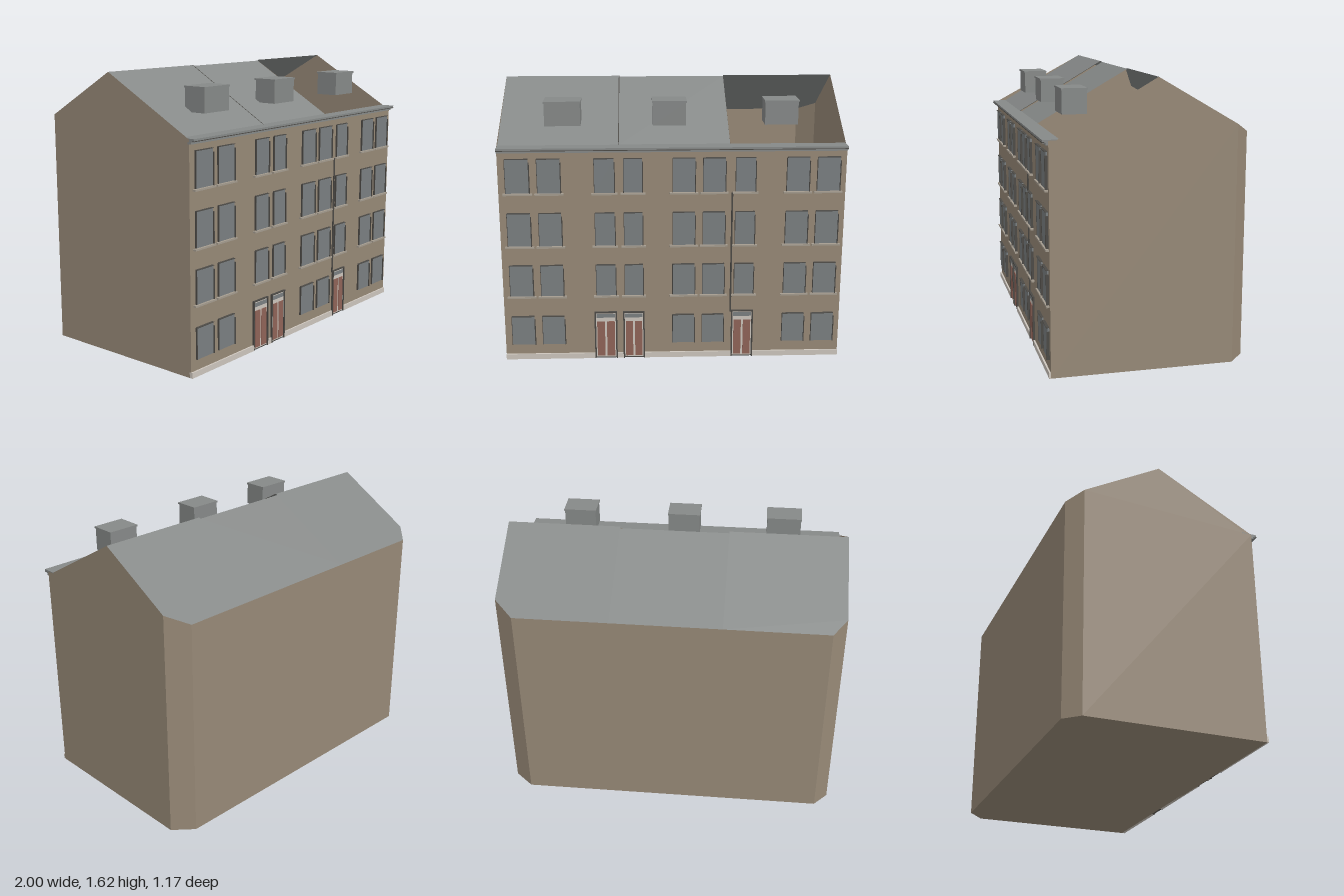
import * as THREE from 'three';

export function createModel() {
  const root = new THREE.Group();
  root.name = 'terraceBuilding';

  const mat = (name, color, side = THREE.FrontSide) => {
    const m = new THREE.MeshStandardMaterial({ color, side });
    m.name = name;
    return m;
  };
  const wall = mat('tanRender', 0x978977, THREE.DoubleSide);
  const roof = mat('greySlate', 0x868988, THREE.DoubleSide);
  const glass = mat('windowGlass', 0x7a7f81);
  const trim = mat('darkTrim', 0x4c4a46);
  const sillMat = mat('sillStone', 0xa59c8f);
  const pale = mat('paleStone', 0xcdc6bd);
  const red = mat('doorRed', 0x8f6458);

  // Flat convex panel from its corners, counter-clockwise from outside
  const panel = (name, material, pts) => {
    const g = new THREE.BufferGeometry();
    const pos = [];
    for (let i = 1; i < pts.length - 1; i++) pos.push(...pts[0], ...pts[i], ...pts[i + 1]);
    g.setAttribute('position', new THREE.Float32BufferAttribute(pos, 3));
    g.computeVertexNormals();
    const m = new THREE.Mesh(g, material);
    m.name = name;
    root.add(m);
  };
  // Box given by its limits on each axis
  const box = (name, material, x0, x1, y0, y1, z0, z1, parent = root) => {
    const m = new THREE.Mesh(new THREE.BoxGeometry(x1 - x0, y1 - y0, z1 - z0), material);
    m.position.set((x0 + x1) / 2, (y0 + y1) / 2, (z0 + z1) / 2);
    m.name = name;
    parent.add(m);
    return m;
  };

  // Main levels
  const F = 0.55, B = -0.585, E = 1.3, RY = 1.617, RZ = -0.04;
  const backY = (z) => E + ((z - B) / (RZ - B)) * (RY - E);
  const split1 = -0.31, split2 = 0.333;
  const cutL = { x: -0.92, z: -0.5 }, cutR = { x: 0.89, z: -0.49 };

  // Outer walls with cut back corners
  panel('frontWall', wall, [[-1, 0, F], [1, 0, F], [1, E, F], [-1, E, F]]);
  panel('backWall', wall, [[cutR.x, 0, B], [cutL.x, 0, B], [cutL.x, E, B], [cutR.x, E, B]]);
  const gable = (x, z) => [
    [x, 0, F], [x, 0, z], [x, backY(z), z], [x, RY, RZ], [x, E, 0.51], [x, E, F]];
  panel('leftGable', wall, gable(1, cutR.z));
  panel('rightGable', wall, gable(-1, cutL.z).reverse());
  panel('leftCutCorner', wall, [
    [1, 0, cutR.z], [cutR.x, 0, B], [cutR.x, E, B], [1, backY(cutR.z), cutR.z]]);
  panel('rightCutCorner', wall, [
    [cutL.x, 0, B], [-1, 0, cutL.z], [-1, backY(cutL.z), cutL.z], [cutL.x, E, B]]);
  panel('floor', wall, [
    [-1, 0, F], [-1, 0, cutL.z], [cutL.x, 0, B], [cutR.x, 0, B], [1, 0, cutR.z], [1, 0, F]]);
  // Inner wall beside the open roof bay
  panel('partyWall', wall, [
    [split2, 0, F - 0.01], [split2, 0, B + 0.005], [split2, RY - 0.01, RZ], [split2, E, 0.5]]);

  // Roof: three back bays, two front bays, the third front bay open
  const midZ = -0.05, midY = backY(midZ);
  panel('backRoof', roof, [
    [-1, RY, RZ], [split1, RY, RZ], [split1, E, B], [cutL.x, E, B], [-1, backY(cutL.z), cutL.z]].reverse());
  panel('backRoof', roof, [
    [split1, E, B], [split1, midY, midZ], [split2, midY, midZ], [split2, E, B]]);
  panel('backRoof', roof, [
    [split2, E, B], [split2, RY, RZ], [1, RY, RZ], [1, backY(cutR.z), cutR.z], [cutR.x, E, B]]);
  panel('frontRoof', roof, [[-1, E, 0.505], [split1, E, 0.505], [split1, RY, RZ], [-1, RY, RZ]]);
  panel('frontRoof', roof, [
    [split1, E, 0.49], [split2, E, 0.49], [split2, midY, midZ], [split1, midY, midZ]]);
  box('roofJoint', trim, split1 - 0.002, split1 + 0.002, -0.001, 0.001, -0.315, 0.315)
    .position.set(split1, (E + RY) / 2, 0.2325);
  root.children.at(-1).rotation.x = Math.atan2(RY - E, 0.545);

  // Cornice and gutter
  box('cornice', roof, -1, 1, 1.288, 1.305, 0.49, 0.583);
  box('corniceMoulding', roof, -1, 1, 1.275, 1.288, F - 0.01, 0.563);
  box('gutterLine', trim, -1, 1, 1.29, 1.294, 0.57, 0.585);

  // Dormers
  for (const [x0, x1] of [[-0.74, -0.525], [-0.115, 0.085], [0.535, 0.735]]) {
    const dormer = new THREE.Group();
    dormer.name = 'dormer';
    box('dormerBody', roof, x0 + 0.004, x1 - 0.004, 1.4, 1.535, 0.285, 0.425, dormer);
    box('dormerCap', roof, x0, x1, 1.532, 1.543, 0.28, 0.43, dormer);
    root.add(dormer);
  }

  // Windows
  const columns = [[-0.957, -0.824], [-0.775, -0.645], [-0.45, -0.337], [-0.282, -0.176],
    [0, 0.128], [0.176, 0.303], [0.364, 0.476], [0.658, 0.786], [0.834, 0.963]];
  const rows = [[0.096, 0.275], [0.406, 0.596], [0.717, 0.915], [1.037, 1.237]];
  const doorColumns = [2, 3, 6];
  rows.forEach(([y0, y1], r) => columns.forEach(([x0, x1], c) => {
    if (r === 0 && doorColumns.includes(c)) return;
    const win = new THREE.Group();
    win.name = 'window';
    box('glass', glass, x0, x1, y0, y1, F - 0.01, 0.559, win);
    box('jamb', trim, x1, x1 + 0.005, y0, y1 - 0.02, F - 0.01, 0.566, win);
    box('jamb', trim, x0 - 0.003, x0, y0, y1, F - 0.01, 0.561, win);
    box('head', trim, x0, x1, y1, y1 + 0.003, F - 0.01, 0.566, win);
    if (r > 0) box('sill', sillMat, x0 - 0.018, x1 + 0.018, y0 - 0.012, y0 - 0.002, F - 0.01, 0.568, win);
    root.add(win);
  }));

  // Doors
  const doors = [[-0.467, -0.332], [-0.296, -0.168], [0.35, 0.481]];
  for (const [x0, x1] of doors) {
    const door = new THREE.Group();
    door.name = 'door';
    const mid = (x0 + x1) / 2;
    box('doorSurround', trim, x0, x1, 0, 0.3, F - 0.01, 0.553, door);
    box('doorFrame', pale, x0 + 0.009, x1 - 0.009, 0.008, 0.288, F, 0.556, door);
    box('transomGlass', glass, x0 + 0.012, x1 - 0.012, 0.262, 0.286, F, 0.558, door);
    box('doorLeaf', red, x0 + 0.015, mid - 0.006, 0.015, 0.238, F, 0.559, door);
    box('doorLeaf', red, mid + 0.006, x1 - 0.015, 0.015, 0.238, F, 0.559, door);
    for (const x of [x0, x1 - 0.006]) box('doorPost', trim, x, x + 0.006, 0, 0.3, F, 0.562, door);
    box('doorHead', trim, x0, x1, 0.293, 0.3, F, 0.562, door);
    root.add(door);
  }

  // Plinth between the doors
  const edges = [-1, ...doors.flat(), 1];
  for (let i = 0; i < edges.length; i += 2) {
    box('plinth', pale, edges[i], edges[i + 1], 0, 0.033, F - 0.01, 0.56);
  }

  // Drainpipe
  const pipe = new THREE.Mesh(new THREE.CylinderGeometry(0.005, 0.005, 0.74, 8), trim);
  pipe.position.set(0.344, 0.66, 0.555);
  pipe.name = 'drainpipe';
  root.add(pipe);

  return root;
}
